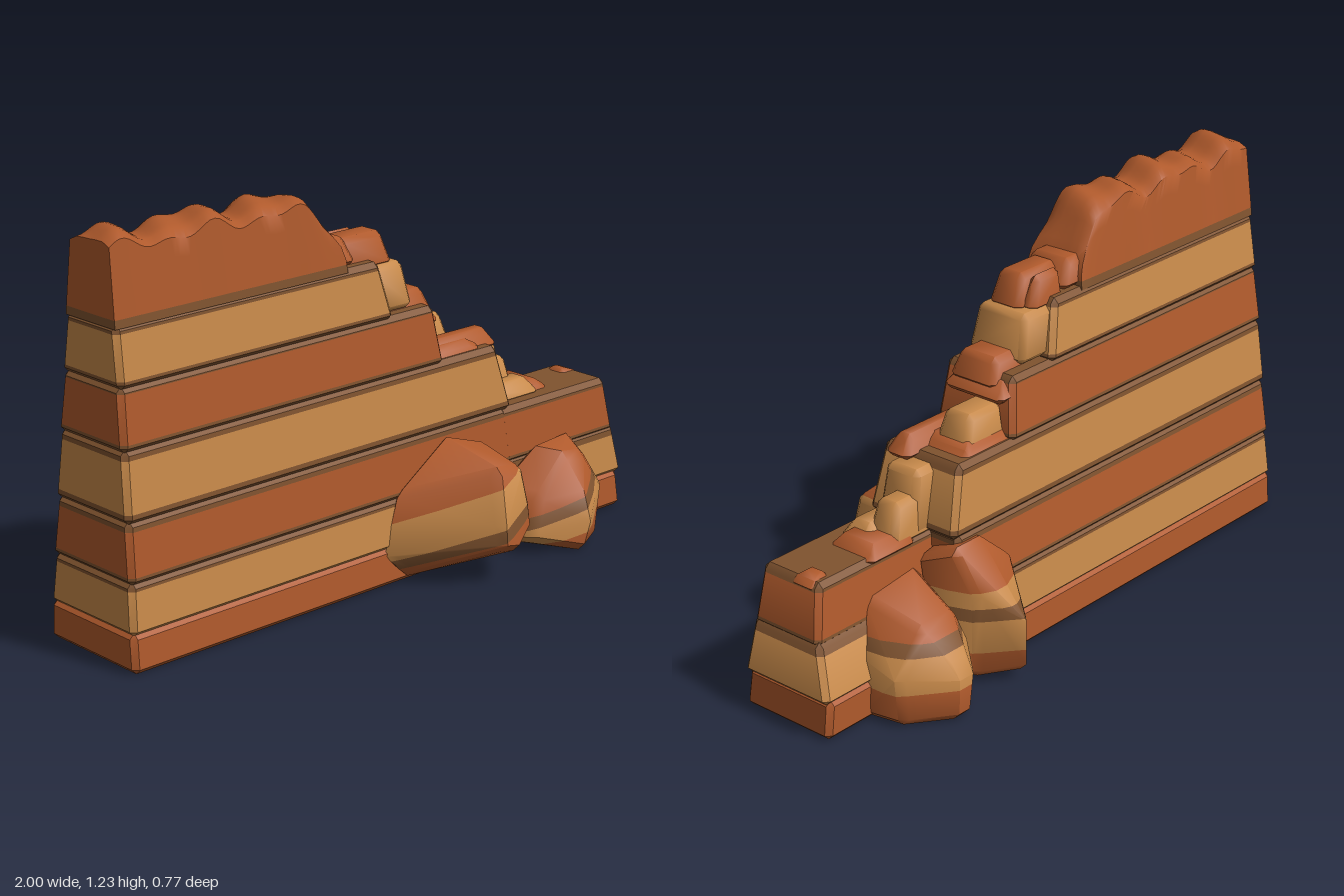
import * as THREE from 'three';
import { toCreasedNormals } from 'three/addons/utils/BufferGeometryUtils.js';
import { ConvexGeometry } from 'three/addons/geometries/ConvexGeometry.js';

const material = (name, color) => {
  const m = new THREE.MeshStandardMaterial({ color });
  m.name = name;
  return m;
};

export function createModel() {
  const group = new THREE.Group();
  const red = material('red sandstone', 0xb05a2c);
  const tan = material('tan sandstone', 0xc88a4a);
  const dark = material('dark seam', 0x80532f);

  // Keep the part of a polygon where sign * (height - stop) >= 0.
  const clip = (poly, height, stop, sign) => {
    const out = [];
    poly.forEach((a, i) => {
      const b = poly[(i + 1) % poly.length];
      const da = sign * (height(a) - stop), db = sign * (height(b) - stop);
      if (da >= 0) out.push(a);
      if ((da >= 0) !== (db >= 0)) out.push(a.map((v, k) => v + (b[k] - v) * da / (da - db)));
    });
    return out;
  };

  // Cut a surface into strata; the strata tilt by slope along x.
  const addStrata = (name, geometry, stops, mats, slope = 0, crease = 0.6) => {
    const geo = toCreasedNormals(geometry, crease);
    const { position: p, normal: n } = geo.attributes;
    const height = v => v[1] - slope * v[0];
    const bands = mats.map(() => []);
    const corner = i => [p.getX(i), p.getY(i), p.getZ(i), n.getX(i), n.getY(i), n.getZ(i)];
    for (let i = 0; i < p.count; i += 3) {
      mats.forEach((_, k) => {
        let poly = [corner(i), corner(i + 1), corner(i + 2)];
        if (k > 0) poly = clip(poly, height, stops[k - 1], 1);
        if (k < stops.length) poly = clip(poly, height, stops[k], -1);
        for (let j = 2; j < poly.length; j++) bands[k].push(poly[0], poly[j - 1], poly[j]);
      });
    }
    const all = bands.flat(), out = new THREE.BufferGeometry();
    out.setAttribute('position', new THREE.Float32BufferAttribute(all.flatMap(v => v.slice(0, 3)), 3));
    out.setAttribute('normal', new THREE.Float32BufferAttribute(all.flatMap(v => v.slice(3)), 3));
    let start = 0;
    bands.forEach((b, k) => { out.addGroup(start, b.length, k); start += b.length; });
    const mesh = new THREE.Mesh(out, mats);
    mesh.name = name;
    group.add(mesh);
  };

  // Convex stone with bevelled edges.
  const stone = (points, r) => {
    const centre = new THREE.Vector3();
    points.forEach(q => centre.add(new THREE.Vector3(...q).divideScalar(points.length)));
    const cloud = [];
    points.forEach(q => {
      const c = new THREE.Vector3(...q).sub(centre);
      c.set(...c.toArray().map(v => Math.sign(v) * Math.max(0, Math.abs(v) - r))).add(centre);
      for (const axis of [[r, 0, 0], [0, r, 0], [0, 0, r]])
        for (const s of [-1, 1]) cloud.push(new THREE.Vector3(...axis).multiplyScalar(s).add(c));
    });
    return new ConvexGeometry(cloud);
  };

  // Block with separate bottom and top extents: [xMin, xMax, zBack, zFront].
  const block = (y0, y1, b, t, r) => {
    const pts = [];
    for (const [y, e] of [[y0, b], [y1, t]])
      for (const x of [e[0], e[1]]) for (const z of [e[2], e[3]]) pts.push([x, y, z]);
    return stone(pts, r);
  };

  // Wall courses, bevelled so that grooves form between them
  const wallStops = [0.115, 0.24, 0.28, 0.41, 0.46, 0.61, 0.655, 0.795, 0.83, 0.96, 1.0];
  const wallMats = [red, tan, dark, red, dark, tan, dark, red, dark, tan, dark, red];
  const courses = [
    [0, 0.12, [-1, 0.5, -0.25, 0.135], [-1, 0.5, -0.245, 0.13]],
    [0.11, 0.265, [-1, 0.5, -0.245, 0.13], [-0.995, 0.5, -0.23, 0.12]],
    [0.255, 0.44, [-0.995, 0.5, -0.235, 0.122], [-0.993, 0.48, -0.21, 0.112]],
    [0.43, 0.64, [-0.995, 0.5, -0.213, 0.115], [-0.99, 0.45, -0.19, 0.1]],
    [0.63, 0.815, [-0.993, 0.22, -0.19, 0.102], [-0.99, 0.19, -0.165, 0.09]],
    [0.805, 0.985, [-0.99, 0.02, -0.168, 0.092], [-0.99, -0.02, -0.143, 0.078]],
    // low end
    [0, 0.12, [0.4, 0.995, -0.19, 0.135], [0.4, 0.985, -0.19, 0.13]],
    [0.11, 0.275, [0.4, 1.0, -0.19, 0.13], [0.4, 0.97, -0.14, 0.12]],
    [0.255, 0.435, [0.4, 0.965, -0.13, 0.12], [0.4, 0.935, -0.11, 0.11]],
  ];
  courses.forEach(([y0, y1, b, t]) => addStrata('wallCourse', block(y0, y1, b, t, 0.016), wallStops, wallMats));

  // Crumbling top course
  const top = new THREE.BoxGeometry(1, 1, 1, 44, 4, 6), p = top.attributes.position;
  for (let i = 0; i < p.count; i++) {
    const u = p.getX(i) + 0.5, v = p.getY(i) + 0.5, w = p.getZ(i);
    const x = -0.99 + u * (0.84 - 0.08 * v * v);
    const z = -0.03 + 0.007 * v + w * (0.215 - 0.045 * v);
    const ridge = 1.21 + 0.014 * Math.sin(21 * x + 2.5) + 0.012 * Math.sin(39 * x + 14 * z)
      - 0.02 * Math.pow(Math.abs(2 * w), 4) - 0.05 * Math.pow(u, 14);
    p.setXYZ(i, x, 0.975 + v * (ridge - 0.975), z);
  }
  addStrata('topCourse', top, [1.0], [dark, red], 0, 0.9);

  // Rubble steps down the slope: [material, x0, x1, y0, y1, zBack, zFront]
  [
    [red, -0.2, -0.09, 0.98, 1.07, -0.12, 0.05],
    [red, -0.13, 0.065, 0.95, 1.06, -0.08, 0.04],
    [red, -0.1, 0.04, 0.95, 1.055, -0.115, -0.055],
    [tan, -0.05, 0.12, 0.82, 0.965, -0.14, 0.07],
    [red, 0.0, 0.225, 0.77, 0.86, -0.12, 0.05],
    [red, 0.08, 0.24, 0.74, 0.8, -0.16, 0.06],
    [tan, 0.2, 0.37, 0.63, 0.74, -0.15, -0.02],
    [red, 0.2, 0.49, 0.615, 0.685, -0.03, 0.06],
    [red, 0.18, 0.4, 0.62, 0.67, -0.17, 0.08],
    [tan, 0.42, 0.55, 0.43, 0.62, -0.11, 0.04],
    [tan, 0.46, 0.635, 0.42, 0.55, -0.11, 0.0],
    [tan, 0.46, 0.68, 0.42, 0.485, -0.05, 0.06],
    [red, 0.55, 0.74, 0.41, 0.465, -0.12, 0.05],
    [red, 0.86, 0.94, 0.4, 0.445, -0.1, 0.0],
  ].forEach(([m, x0, x1, y0, y1, zb, zf]) => {
    const base = [x0, x1, zb, zf], cap = [x0, x1 - 0.025, zb + 0.012, zf - 0.012];
    addStrata('rubbleBlock', block(y0, y1, base, cap, 0.018), [], [m], 0, 0.9);
  });

  // Fallen boulders in front
  addStrata('frontBoulder', stone([
    [-0.05, 0.07, 0.1], [0, 0.29, 0.1], [0.18, 0.41, 0.1], [0.36, 0.37, 0.12], [0.41, 0.1, 0.1],
    [0.0, 0.02, 0.12], [0.3, 0.02, 0.12], [0.2, 0.36, 0.34], [0.33, 0.35, 0.34], [0.12, 0.16, 0.3],
    [0.18, 0.11, 0.385], [0.28, 0.1, 0.385], [0.35, 0.14, 0.36], [0.41, 0.14, 0.22],
    [0.18, 0.22, 0.38], [0.34, 0.25, 0.36],
  ], 0.025), [0.05, 0.09, 0.2], [red, dark, tan, red], 0.45, 0.7);
  addStrata('frontBoulder', stone([
    [0.42, 0.02, 0.1], [0.43, 0.2, 0.1], [0.55, 0.3, 0.12], [0.76, 0.3, 0.1], [0.8, 0.11, 0.1],
    [0.72, 0.0, 0.1], [0.45, 0.03, 0.26], [0.48, 0.19, 0.25], [0.57, 0.0, 0.34], [0.59, 0.07, 0.345],
    [0.71, 0.01, 0.3], [0.6, 0.29, 0.24], [0.72, 0.28, 0.24], [0.8, 0.13, 0.2], [0.6, 0.21, 0.31],
    [0.72, 0.16, 0.29],
  ], 0.025), [-0.15, -0.085, -0.05], [red, tan, dark, red], 0.35, 0.7);

  // Fallen boulders behind
  const backStops = [0.1, 0.2, 0.24, 0.29], backMats = [red, tan, dark, tan, red];
  addStrata('backBoulder', stone([
    [0.27, 0.02, -0.22], [0.36, 0.03, -0.38], [0.5, 0.02, -0.3], [0.54, 0.02, -0.15],
    [0.29, 0.34, -0.22], [0.36, 0.3, -0.31], [0.36, 0.17, -0.38], [0.5, 0.3, -0.3],
    [0.38, 0.42, -0.2], [0.52, 0.42, -0.2], [0.54, 0.38, -0.1], [0.4, 0.4, -0.1],
  ], 0.022), backStops, backMats, 0, 0.7);
  addStrata('backBoulder', stone([
    [0.49, 0.0, -0.24], [0.61, 0.0, -0.385], [0.69, 0.0, -0.385], [0.81, 0.0, -0.3], [0.83, 0.0, -0.15],
    [0.6, 0.11, -0.39], [0.7, 0.11, -0.39], [0.82, 0.13, -0.29], [0.52, 0.18, -0.28],
    [0.6, 0.2, -0.36], [0.7, 0.2, -0.36], [0.57, 0.28, -0.26], [0.73, 0.28, -0.27],
    [0.55, 0.35, -0.1], [0.76, 0.33, -0.1], [0.82, 0.2, -0.14],
  ], 0.022), [0.1, 0.2, 0.235], [red, tan, dark, red], 0, 0.7);

  return group;
}
